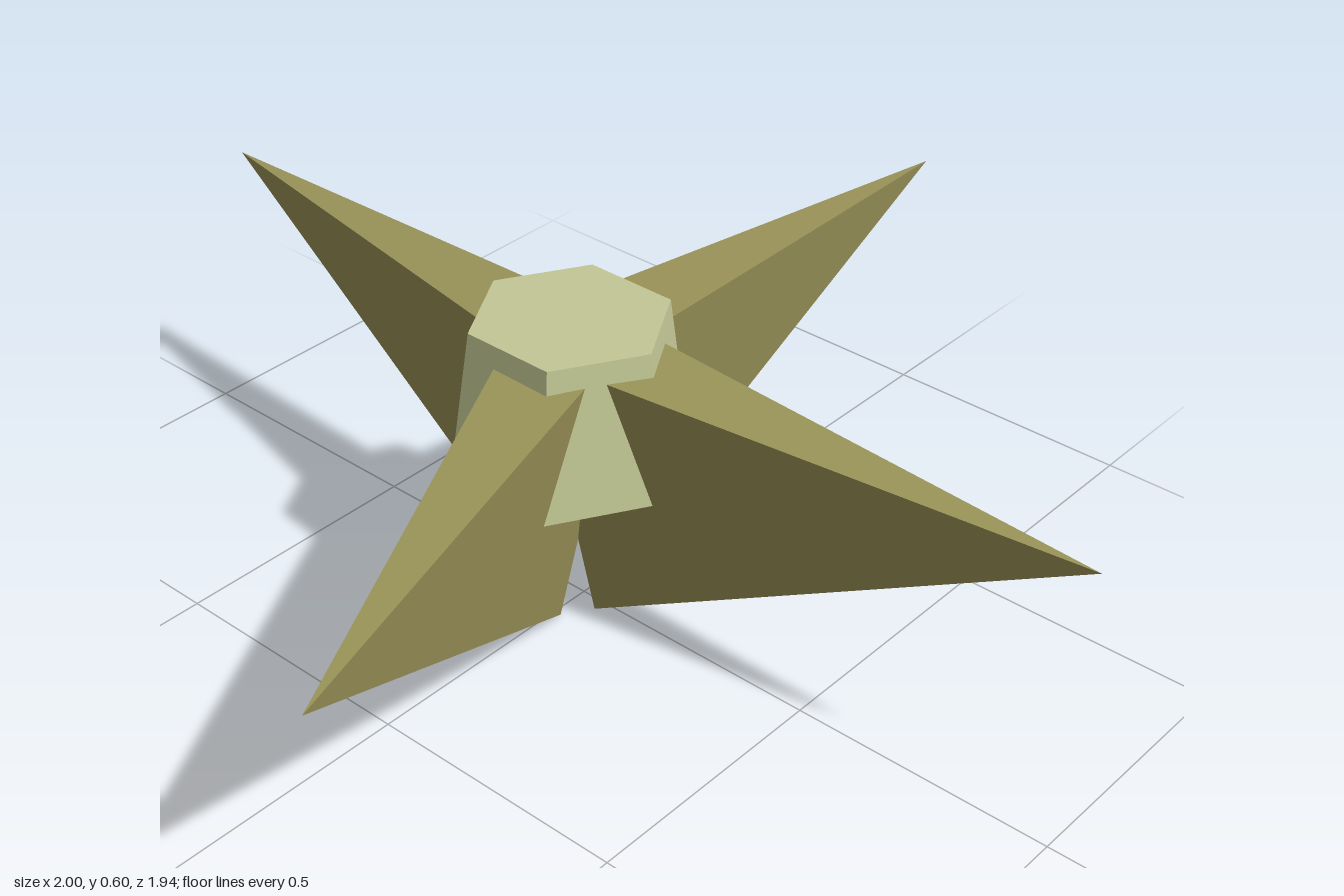
import * as THREE from 'three';

export function createModel() {
  const model = new THREE.Group();
  model.name = 'fourWingedHub';

  const paleGreen = new THREE.MeshStandardMaterial({ color: 0xc3c795, flatShading: true });
  paleGreen.name = 'pale green';
  const olive = new THREE.MeshStandardMaterial({ color: 0x9a9358, flatShading: true });
  olive.name = 'olive';

  // Everything turns about one slightly offset vertical axis
  const axis = new THREE.Group();
  axis.name = 'hubAssembly';
  axis.position.set(-0.004, 0, 0.03);
  model.add(axis);

  // Hub: tapered hexagonal prism with corners on the left and right
  const hubTop = 0.6, hubBottom = 0.317;
  const hub = new THREE.Mesh(
    new THREE.CylinderGeometry(0.18, 0.219, hubTop - hubBottom, 6, 1, false, Math.PI / 2),
    paleGreen
  );
  hub.name = 'hub';
  hub.position.y = (hubTop + hubBottom) / 2;
  axis.add(hub);

  // Wing: four-cornered wedge reaching from the axis along +z
  const a = [-0.095, 0.565, 0], b = [0.095, 0.565, 0];
  const tip = [0, 0.519, 1.004], foot = [0, 0, 0.053];
  const faces = [a, tip, b, a, foot, tip, b, tip, foot, a, b, foot];
  const wingGeometry = new THREE.BufferGeometry();
  wingGeometry.setAttribute('position', new THREE.Float32BufferAttribute(faces.flat(), 3));
  wingGeometry.computeVertexNormals();

  // Four wings at uneven angles around the hub
  const wings = {
    frontWing: 0.36,
    leftWing: Math.PI / 2 + 0.08,
    backWing: Math.PI - 0.029,
    rightWing: -Math.PI / 2 - 0.13,
  };
  for (const [name, angle] of Object.entries(wings)) {
    const wing = new THREE.Mesh(wingGeometry, olive);
    wing.name = name;
    wing.rotation.y = angle;
    axis.add(wing);
  }

  return model;
}
